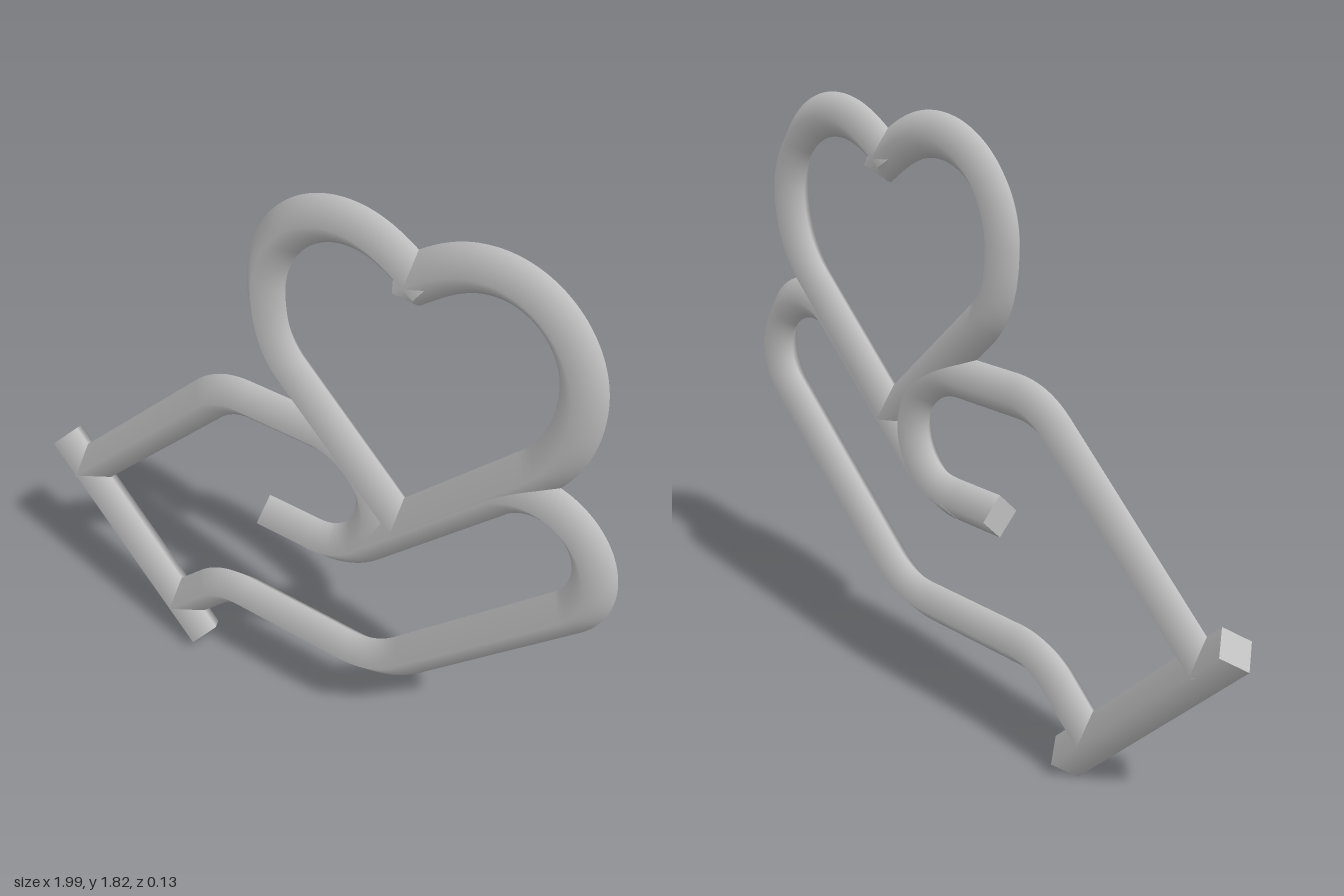
import * as THREE from 'three';
import { mergeGeometries } from 'three/addons/utils/BufferGeometryUtils.js';

const RADIUS = 0.065;

// Lifts a flat path into space at z = 0
class FlatCurve extends THREE.Curve {
  constructor(path) { super(); this.path = path; }
  getPoint(t) {
    const p = this.path.getPoint(t);
    return new THREE.Vector3(p.x, p.y, 0);
  }
}

// Four-sided rod with smooth sides and flat, closed ends
function rod(path, segments) {
  const tube = new THREE.TubeGeometry(new FlatCurve(path), segments, RADIUS, 4, false);
  const pos = tube.attributes.position;
  const cap = (first, order) => {
    const g = new THREE.BufferGeometry();
    const pts = [0, 1, 2, 3].map(j => new THREE.Vector3().fromBufferAttribute(pos, first + j));
    g.setFromPoints(pts);
    g.setAttribute('uv', new THREE.Float32BufferAttribute(new Array(8).fill(0), 2));
    g.setIndex(order);
    g.computeVertexNormals();
    return g;
  };
  return mergeGeometries([
    tube,
    cap(0, [0, 1, 2, 0, 2, 3]),
    cap(segments * 5, [0, 2, 1, 0, 3, 2]),
  ]);
}

export function createModel() {
  const group = new THREE.Group();
  const grey = new THREE.MeshStandardMaterial({ color: 0xbfbfbf });
  grey.name = 'grey';

  const add = (name, path, segments) => {
    const mesh = new THREE.Mesh(rod(path, segments), grey);
    mesh.name = name;
    group.add(mesh);
  };

  // Cuff bar at the wrist
  const cuff = new THREE.Path().moveTo(-0.952, 0.617).lineTo(-0.39, 0.055);
  add('cuff', cuff, 1);

  // Upper wrist line running into the curled thumb
  const thumb = new THREE.Path().moveTo(-0.87, 0.521).lineTo(-0.329, 1.026)
    .quadraticCurveTo(-0.263, 1.087, -0.173, 1.087)
    .lineTo(0.075, 1.087)
    .absarc(0.075, 0.898, 0.189, Math.PI / 2, -Math.PI / 2, true);
  add('thumb', thumb, 140);

  // Fingers: inner end, diagonal, fingertip loop, palm and lower wrist
  const tilt = THREE.MathUtils.degToRad(133);
  const fingers = new THREE.Path().moveTo(-0.107, 0.71).lineTo(0.06, 0.71)
    .bezierCurveTo(0.12, 0.71, 0.18, 0.725, 0.235, 0.776)
    .lineTo(0.62, 1.135)
    .absarc(0.746, 1.0, 0.185, tilt, tilt - Math.PI, true)
    .lineTo(0.401, 0.426)
    .bezierCurveTo(0.345, 0.373, 0.28, 0.337, 0.18, 0.337)
    .lineTo(-0.197, 0.337)
    .quadraticCurveTo(-0.287, 0.337, -0.353, 0.276)
    .lineTo(-0.486, 0.15);
  add('fingers', fingers, 220);

  // Heart halves, each from the notch round the lobe to the tip
  const heartLeftSide = new THREE.Path().moveTo(0.39, 1.652)
    .bezierCurveTo(0.315, 1.705, 0.25, 1.757, 0.152, 1.757)
    .bezierCurveTo(0.007, 1.757, -0.11, 1.637, -0.11, 1.49)
    .bezierCurveTo(-0.11, 1.40, -0.09, 1.32, -0.03, 1.26)
    .lineTo(0.36, 0.9);
  add('heartRightHalf', heartLeftSide, 120);

  const heartRightSide = new THREE.Path().moveTo(0.33, 1.652)
    .bezierCurveTo(0.41, 1.71, 0.48, 1.767, 0.585, 1.767)
    .bezierCurveTo(0.722, 1.767, 0.834, 1.651, 0.834, 1.508)
    .bezierCurveTo(0.834, 1.40, 0.79, 1.312, 0.725, 1.25)
    .lineTo(0.36, 0.905);
  add('heartLeftHalf', heartRightSide, 120);

  return group;
}
